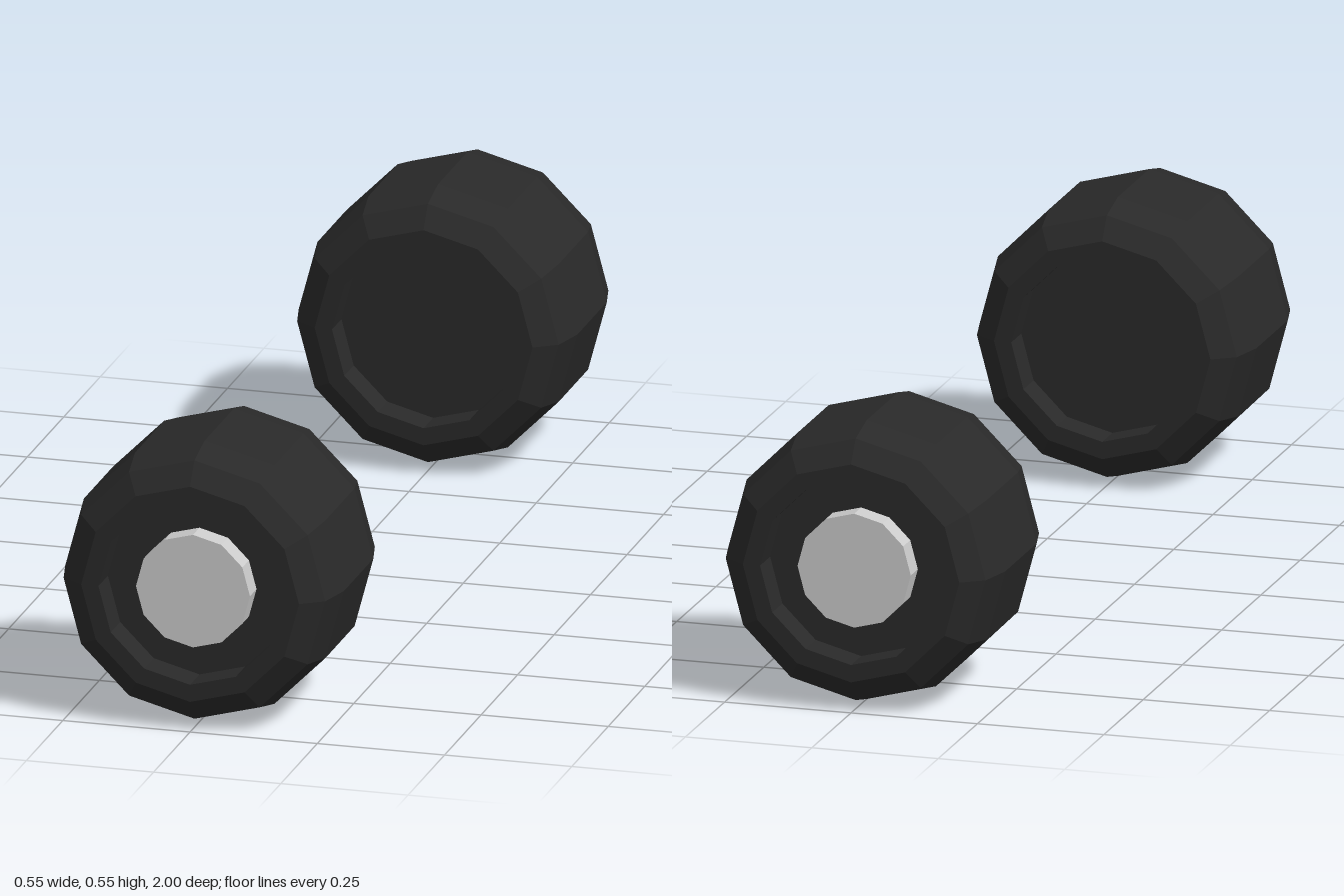
import * as THREE from 'three';

const SIDES = 12;
const RADIUS = 0.274;

// Tyre half profile as [radius, distance from the mid plane], hub recess first
const HALF = [[0, 0.135], [0.18, 0.135], [0.18, 0.2], [0.214, 0.2], [0.257, 0.17], [RADIUS, 0.1]];

function createWheel(name) {
  const wheel = new THREE.Group();
  wheel.name = name;

  // Tyre: bevelled drum, recessed on both faces
  const profile = [
    ...HALF.map(([r, d]) => new THREE.Vector2(r, -d)),
    ...HALF.map(([r, d]) => new THREE.Vector2(r, d)).reverse(),
  ];
  const tyre = new THREE.Mesh(
    new THREE.LatheGeometry(profile, SIDES).rotateX(Math.PI / 2),
    new THREE.MeshStandardMaterial({ color: 0x292929, flatShading: true })
  );
  tyre.name = 'tyre';

  // Hub: short disc on the outer face only
  const hub = new THREE.Mesh(
    new THREE.CylinderGeometry(0.112, 0.112, 0.06, SIDES).rotateX(Math.PI / 2),
    new THREE.MeshStandardMaterial({ color: 0xcccccc, flatShading: true })
  );
  hub.name = 'hub';
  hub.position.z = 0.15;

  wheel.add(tyre, hub);
  return wheel;
}

export function createModel() {
  const model = new THREE.Group();
  model.name = 'wheelPair';

  // Two wheels facing away from each other
  for (const [name, side] of [['frontWheel', 1], ['backWheel', -1]]) {
    const wheel = createWheel(name);
    wheel.position.set(0, RADIUS, side * 0.8);
    if (side < 0) wheel.rotation.y = Math.PI;
    model.add(wheel);
  }
  return model;
}
